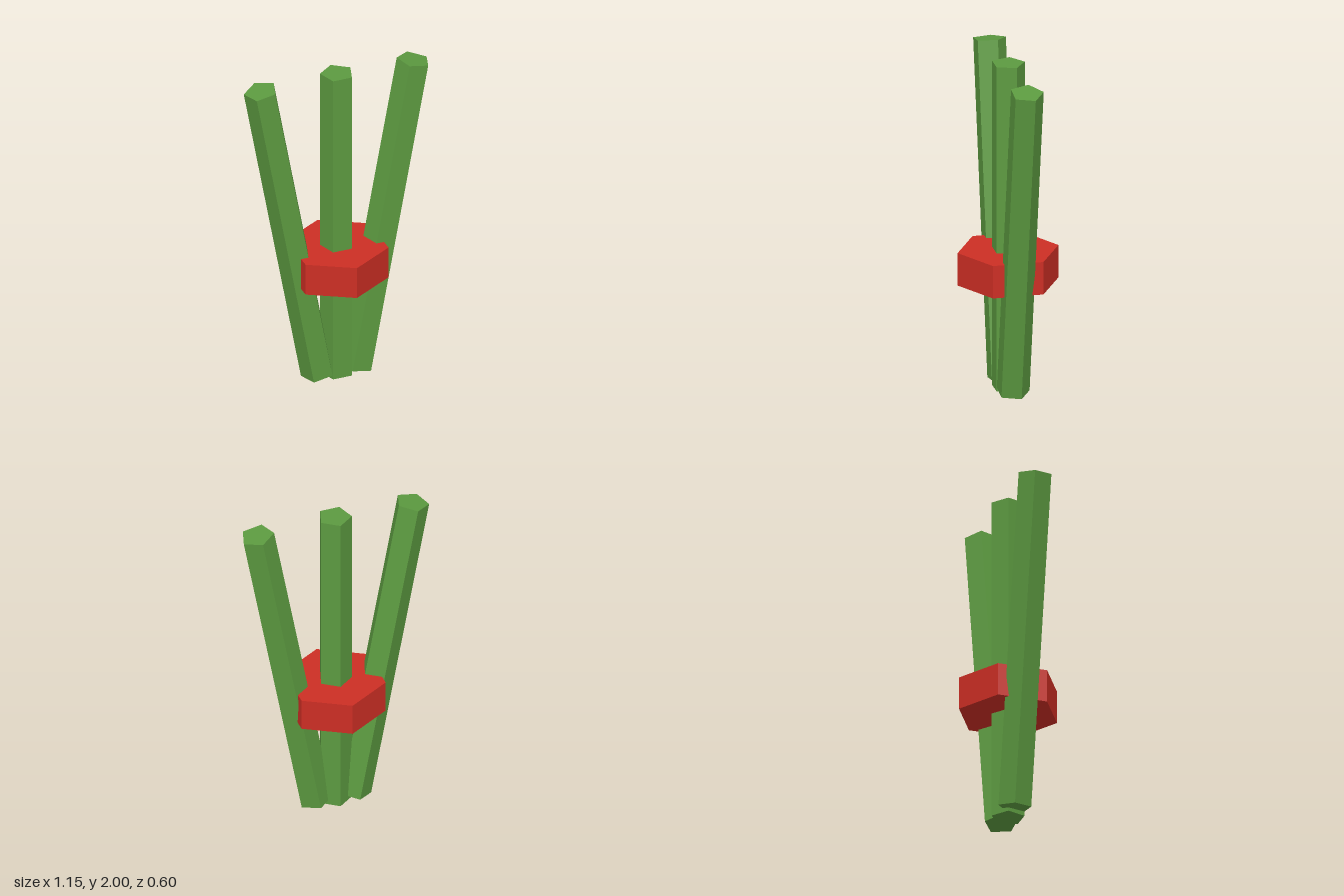
import * as THREE from 'three';

export function createModel() {
  const group = new THREE.Group();
  const green = new THREE.MeshStandardMaterial({ color: 0x5c9a40 });
  green.name = 'stalk green';
  const red = new THREE.MeshStandardMaterial({ color: 0xcc2e24 });
  red.name = 'band red';

  // Split vertices so every side is flat
  const faceted = (geometry) => {
    const flat = geometry.toNonIndexed();
    flat.computeVertexNormals();
    return flat;
  };

  // Five-sided stalks, one edge to the back, the outer two leaning outwards
  const stalkGeometry = faceted(new THREE.CylinderGeometry(0.1, 0.1, 2, 5).rotateY(Math.PI));
  for (const [name, side] of [['rightStalk', -1], ['middleStalk', 0], ['leftStalk', 1]]) {
    const stalk = new THREE.Mesh(stalkGeometry, green);
    stalk.name = name;
    stalk.position.set(side * 0.3, 1, 0);
    stalk.rotation.z = -side * 0.18;
    group.add(stalk);
  }

  // Hexagonal band holding the stalks together
  const band = new THREE.Mesh(faceted(new THREE.CylinderGeometry(0.3, 0.3, 0.2, 6)), red);
  band.name = 'band';
  band.position.y = 0.752;
  group.add(band);

  return group;
}
